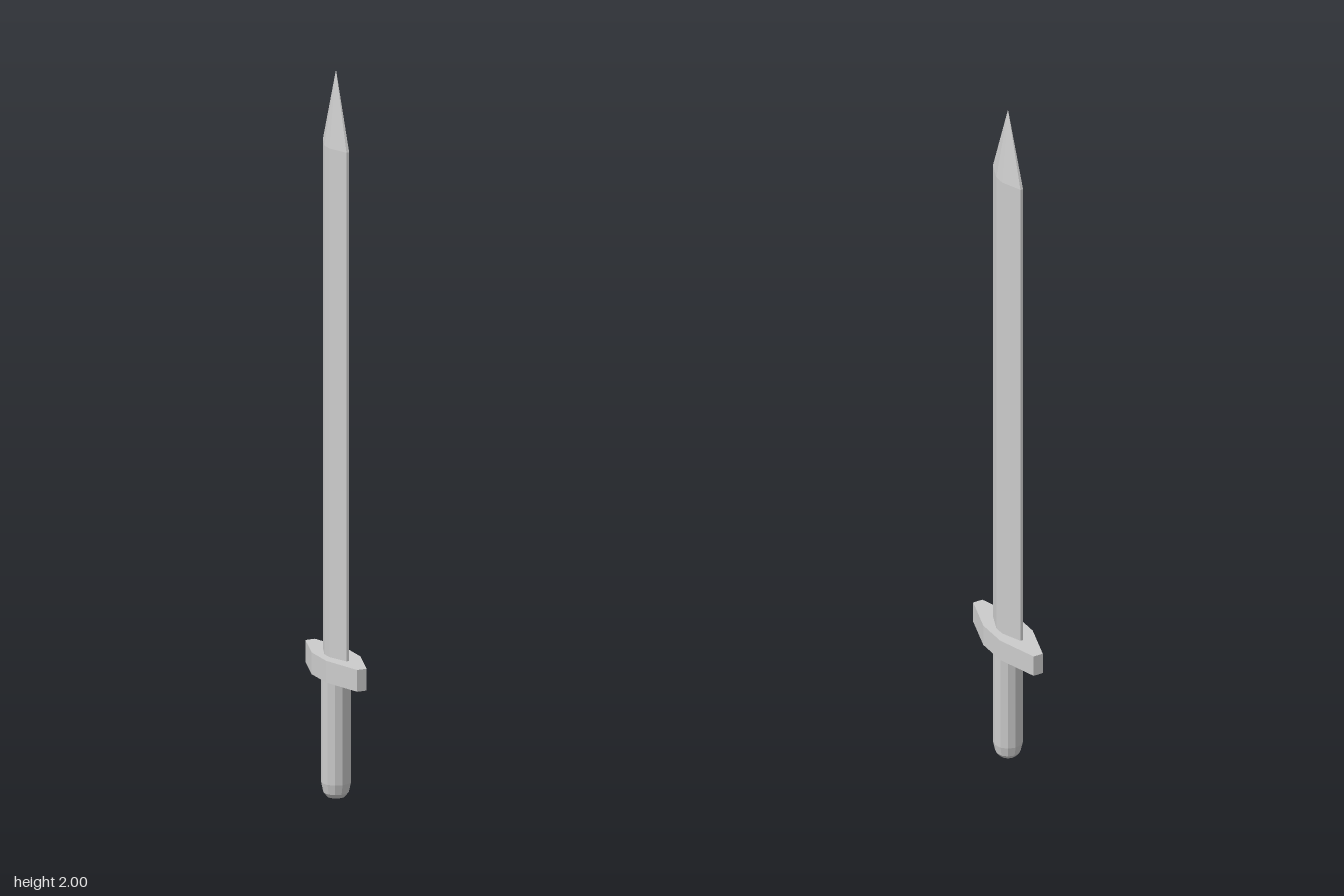
import * as THREE from 'three';

const material = new THREE.MeshStandardMaterial({ color: 0xcccccc, flatShading: true });

// Eight-sided outline: wide at +-zIn, narrowing to the ends at +-zOut
function outline(wide, zIn, narrow, zOut) {
  return [
    [wide, zIn], [wide, -zIn], [narrow, -zOut], [-narrow, -zOut],
    [-wide, -zIn], [-wide, zIn], [-narrow, zOut], [narrow, zOut],
  ];
}

// Closed solid through scaled copies of an outline; levels are [y, scale] from bottom to top
function loft(name, points, levels) {
  const n = points.length;
  const positions = [];
  const index = [];
  for (const [y, s] of levels) {
    for (const [x, z] of points) positions.push(x * s, y, z * s);
  }
  for (let k = 0; k < levels.length - 1; k++) {
    for (let i = 0; i < n; i++) {
      const a = k * n + i;
      const b = k * n + ((i + 1) % n);
      index.push(a, b, b + n);
      if (levels[k + 1][1] > 0) index.push(a, b + n, a + n);
    }
  }
  const top = (levels.length - 1) * n;
  for (let i = 1; i < n - 1; i++) {
    index.push(0, i + 1, i);
    if (levels[levels.length - 1][1] > 0) index.push(top, top + i, top + i + 1);
  }
  const indexed = new THREE.BufferGeometry();
  indexed.setAttribute('position', new THREE.Float32BufferAttribute(positions, 3));
  indexed.setIndex(index);
  const geometry = indexed.toNonIndexed();
  geometry.computeVertexNormals();
  const mesh = new THREE.Mesh(geometry, material);
  mesh.name = name;
  return mesh;
}

export function createModel() {
  const model = new THREE.Group();
  model.name = 'sword';

  // Blade with straight edges and a pointed tip
  model.add(loft('blade', outline(0.027, 0.015, 0.004, 0.072), [[0.38, 1], [1.79, 1], [2, 0]]));

  // Crossguard
  model.add(loft('guard', outline(0.05, 0.044, 0.014, 0.158), [[0.33, 1], [0.39, 1]]));

  // Round grip with a bevelled bottom end
  const profile = [[0, 0], [0.024, 0], [0.034, 0.012], [0.04, 0.04], [0.04, 0.335], [0, 0.335]];
  const grip = new THREE.Mesh(
    new THREE.LatheGeometry(profile.map(([r, y]) => new THREE.Vector2(r, y)), 12),
    material,
  );
  grip.name = 'grip';
  model.add(grip);

  return model;
}
